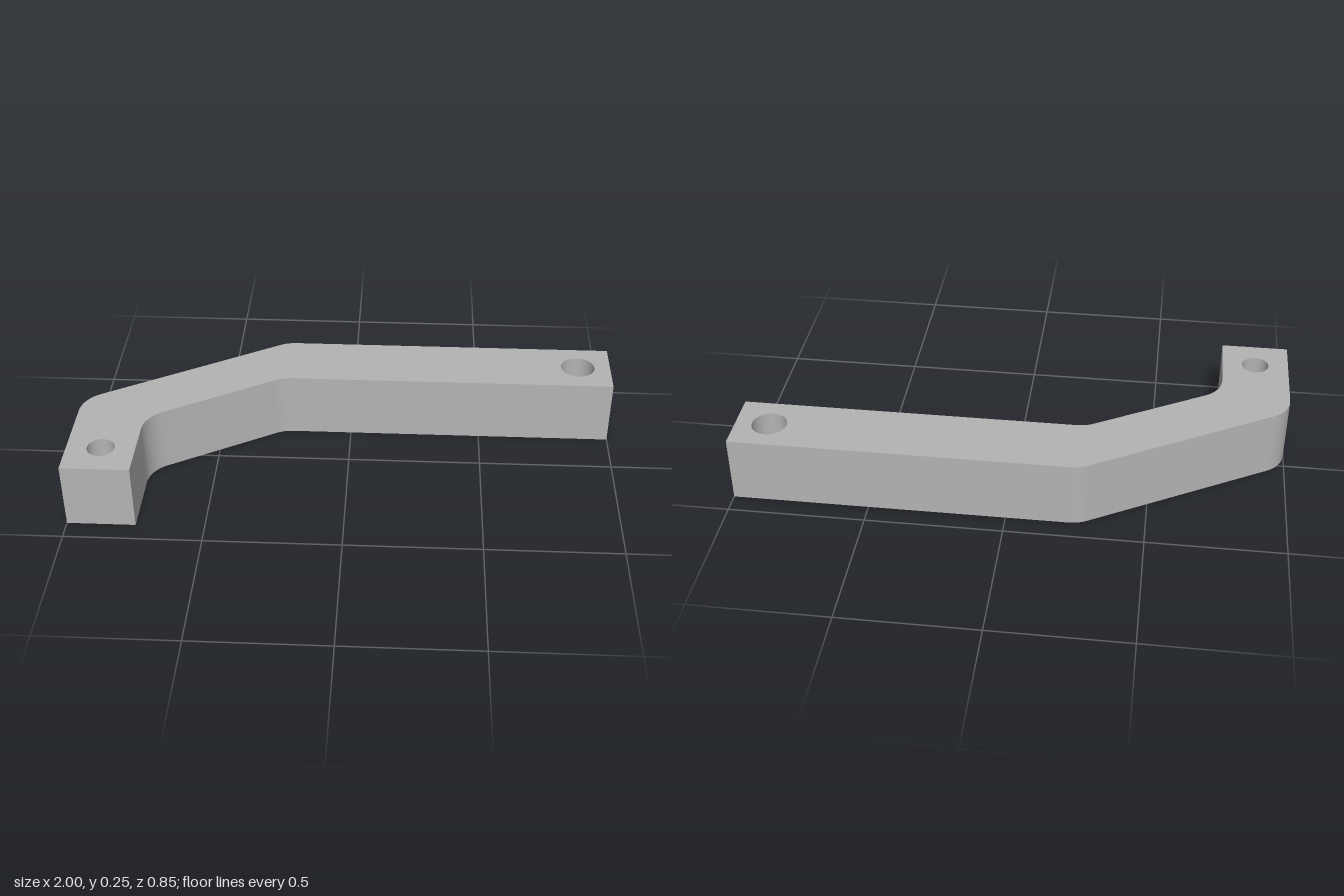
import * as THREE from 'three';
import { toCreasedNormals } from 'three/addons/utils/BufferGeometryUtils.js';

const HEIGHT = 0.25;
const FILLET = 0.125;

// Closed outline from [x, y, cornerRadius] points, with true arcs at rounded corners
function filletedOutline(corners, steps = 10) {
  const points = [];
  corners.forEach(([x, y, r], i) => {
    const n = corners.length;
    const p = new THREE.Vector2(x, y);
    if (!r) { points.push(p); return; }
    const a = new THREE.Vector2(...corners[(i + n - 1) % n]).sub(p).normalize();
    const b = new THREE.Vector2(...corners[(i + 1) % n]).sub(p).normalize();
    const half = Math.acos(a.dot(b)) / 2;
    const centre = a.clone().add(b).normalize().multiplyScalar(r / Math.sin(half)).add(p);
    const start = a.multiplyScalar(r / Math.tan(half)).add(p).sub(centre);
    const end = b.multiplyScalar(r / Math.tan(half)).add(p).sub(centre);
    const sweep = Math.atan2(start.cross(end), start.dot(end));
    for (let k = 0; k <= steps; k++) {
      points.push(start.clone().rotateAround(new THREE.Vector2(), sweep * k / steps).add(centre));
    }
  });
  return points;
}

function hole(x, y, r) {
  return new THREE.Path().absarc(x, y, r, 0, Math.PI * 2, true);
}

export function createModel() {
  const group = new THREE.Group();
  group.name = 'bracket';

  const metal = new THREE.MeshStandardMaterial({ color: 0xb4b4b4 });
  metal.name = 'plain grey';

  // Plan of the bent arm, drawn with y pointing to the back
  const plan = new THREE.Shape(filletedOutline([
    [-1, -0.425],
    [-0.75, -0.425],
    [-0.75, -0.106, FILLET],
    [-0.262, 0.175, FILLET],
    [1, 0.175],
    [1, 0.425],
    [-0.262, 0.425, FILLET],
    [-1, -0.001, FILLET],
  ]));

  // Bolt holes near both ends
  plan.holes.push(hole(0.875, 0.302, 0.064), hole(-0.875, -0.298, 0.05));

  const geometry = new THREE.ExtrudeGeometry(plan, {
    depth: HEIGHT, bevelEnabled: false, curveSegments: 40,
  });
  geometry.rotateX(-Math.PI / 2);

  const arm = new THREE.Mesh(toCreasedNormals(geometry, 0.35), metal);
  arm.name = 'bentArm';
  group.add(arm);
  return group;
}
